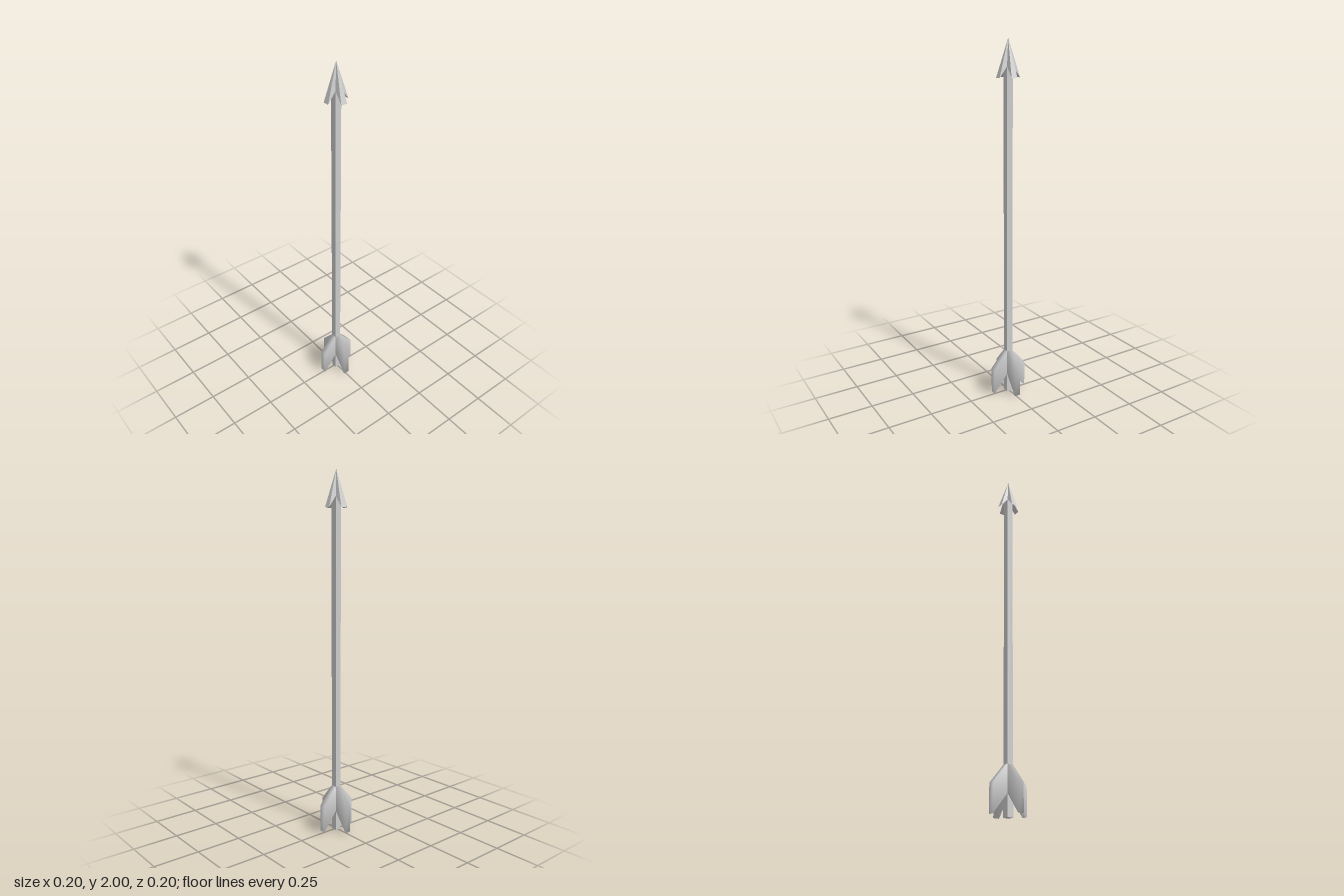
import * as THREE from 'three';

const HALF = 0.0175; // half thickness shared by shaft, fins and barbs

function fromIndexed(points, index) {
  const g = new THREE.BufferGeometry();
  g.setAttribute('position', new THREE.Float32BufferAttribute(points.flat(), 3));
  g.setIndex(index);
  g.computeVertexNormals();
  return g;
}

// Swept-back fin: a four-point outline given thickness, shaded smoothly
function finGeometry() {
  const outline = [[HALF, 0.115], [0.102, 0.01], [0.102, 0.16], [HALF, 0.26]];
  const points = [HALF, -HALF].flatMap(z => outline.map(([x, y]) => [x, y, z]));
  const index = [0, 1, 2, 0, 2, 3, 4, 6, 5, 4, 7, 6];
  for (let i = 0; i < 3; i++) {
    const j = i + 1;
    index.push(i, i + 4, j + 4, i, j + 4, j);
  }
  return fromIndexed(points, index);
}

// One quarter of the arrowhead: from the tip out to a square-ended barb
function barbGeometry() {
  const points = [
    [0, 2, 0],
    [0.062, 1.803, HALF], [0.062, 1.803, -HALF],
    [HALF, 1.86, HALF], [HALF, 1.86, -HALF],
  ];
  return fromIndexed(points, [0, 1, 2, 0, 3, 1, 0, 2, 4, 3, 4, 2, 3, 2, 1]);
}

export function createModel() {
  const model = new THREE.Group();
  model.name = 'arrow';
  const smooth = new THREE.MeshStandardMaterial({ color: 0xcccccc });
  const faceted = new THREE.MeshStandardMaterial({ color: 0xcccccc, flatShading: true });

  // Square shaft
  const shaft = new THREE.Mesh(new THREE.BoxGeometry(2 * HALF, 1.86, 2 * HALF), faceted);
  shaft.name = 'shaft';
  shaft.position.y = 0.93;
  model.add(shaft);

  // Four barbs and four fins around the shaft
  const head = new THREE.Group();
  head.name = 'arrowhead';
  const fletching = new THREE.Group();
  fletching.name = 'fletching';
  const barbGeo = barbGeometry();
  const finGeo = finGeometry();
  for (let i = 0; i < 4; i++) {
    const barb = new THREE.Mesh(barbGeo, faceted);
    barb.name = 'barb';
    const fin = new THREE.Mesh(finGeo, smooth);
    fin.name = 'fin';
    barb.rotation.y = fin.rotation.y = i * Math.PI / 2;
    head.add(barb);
    fletching.add(fin);
  }
  model.add(head, fletching);
  return model;
}
